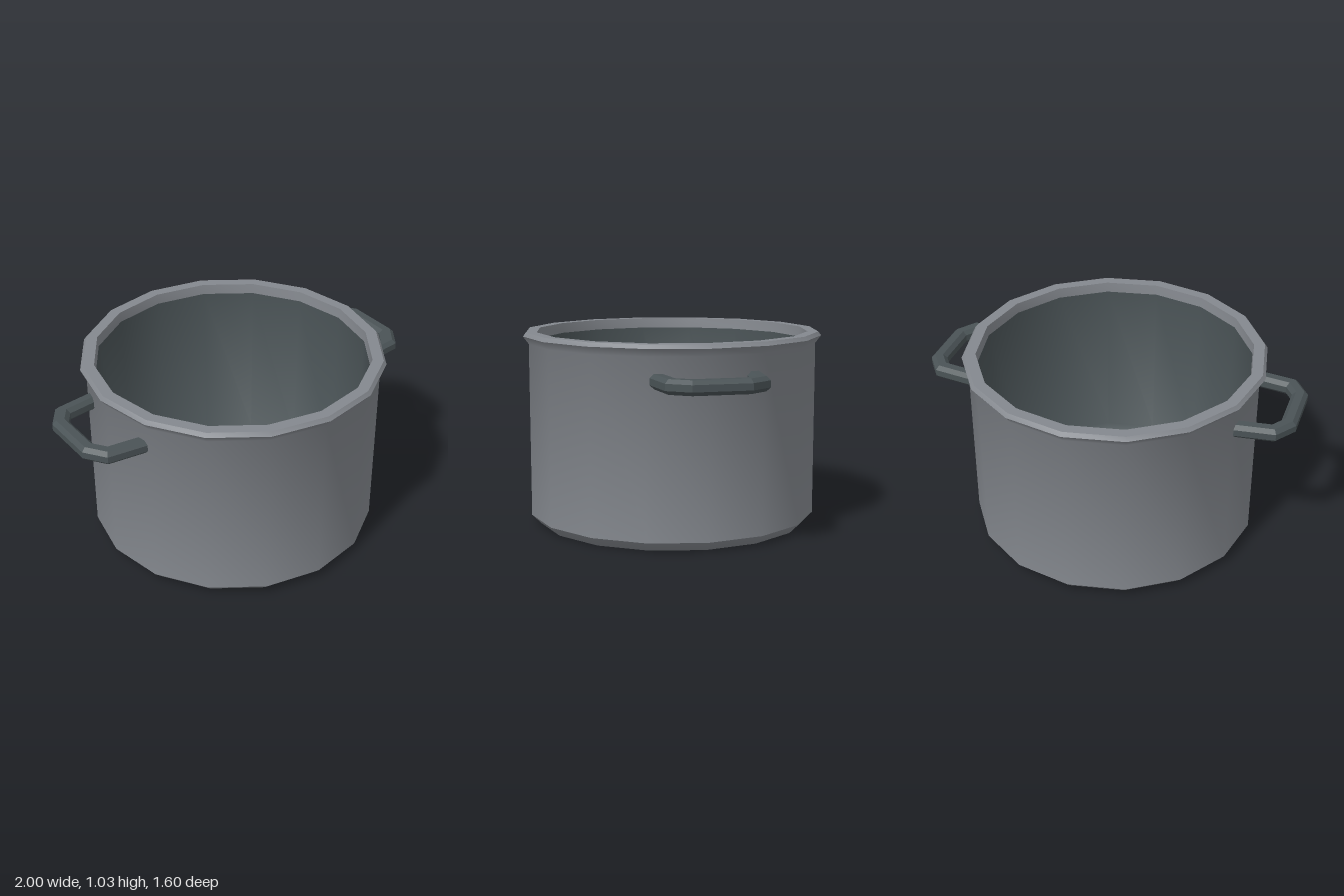
import * as THREE from 'three';
import { toCreasedNormals } from 'three/addons/utils/BufferGeometryUtils.js';

const SIDES = 16;
const CREASE = THREE.MathUtils.degToRad(50);

function makeMaterial(name, color) {
  const material = new THREE.MeshStandardMaterial({ color });
  material.name = name;
  return material;
}

// Turned part from [radius, height] points, smooth except at sharp edges
function turned(points) {
  const profile = points.map(([r, y]) => new THREE.Vector2(r, y));
  return toCreasedNormals(new THREE.LatheGeometry(profile, SIDES), CREASE);
}

// Bar of chamfered section swept along a flat path with mitred corners
function sweptBar(path, section) {
  const dirs = path.slice(1).map((p, i) => p.clone().sub(path[i]).normalize());
  const rings = path.map((p, i) => {
    const a = dirs[Math.max(i - 1, 0)], b = dirs[Math.min(i, dirs.length - 1)];
    const tangent = a.clone().add(b).normalize();
    const miter = 1 / tangent.dot(b);
    const nx = tangent.y * miter, nz = -tangent.x * miter;
    return section.map(([w, h]) => [p.x + nx * w, h, p.y + nz * w]);
  });
  const out = [], n = section.length;
  for (let i = 0; i < rings.length - 1; i++) {
    for (let j = 0; j < n; j++) {
      const k = (j + 1) % n, r = rings[i], s = rings[i + 1];
      out.push(r[j], r[k], s[k], r[j], s[k], s[j]);
    }
  }
  // End caps
  const first = rings[0], last = rings[rings.length - 1];
  for (let j = 1; j < n - 1; j++) {
    out.push(first[0], first[j + 1], first[j], last[0], last[j], last[j + 1]);
  }
  const geometry = new THREE.BufferGeometry();
  geometry.setAttribute('position', new THREE.Float32BufferAttribute(out.flat(), 3));
  geometry.computeVertexNormals();
  return geometry;
}

export function createModel() {
  const group = new THREE.Group();
  group.name = 'cookingPot';
  const steel = makeMaterial('steel grey', 0x84888e);
  const dark = makeMaterial('dark grey', 0x4a5356);

  const add = (name, geometry, material) => {
    const mesh = new THREE.Mesh(geometry, material);
    mesh.name = name;
    group.add(mesh);
    return mesh;
  };

  // Base with chamfered edge
  add('base', turned([[0, 0], [0.72, 0], [0.77, 0.05]]), steel);

  // Outer wall, flaring out softly under the rim
  add('wall', turned([[0.77, 0.05], [0.77, 0.97], [0.8, 1.01]]), steel);

  // Rim with a rounded outer edge and a sharp inner one
  add('rim', turned([[0.8, 1.01], [0.785, 1.03], [0.727, 1.03], [0.722, 0.975]]), steel);

  // Inner wall and floor, softly blended
  add('interior', turned([[0.722, 0.975], [0.705, 0.075], [0.68, 0.05], [0, 0.05]]), dark);

  // Side handles, the second one turned half a circle
  const path = [[0.7, 0.245], [0.9, 0.22], [0.96, 0.135], [0.96, -0.135], [0.9, -0.22], [0.7, -0.245]]
    .map(([x, z]) => new THREE.Vector2(x, z));
  const W = 0.04, H = 0.037, C = 0.02;
  const section = [
    [W, H - C], [W - C, H], [C - W, H], [-W, H - C],
    [-W, C - H], [C - W, -H], [W - C, -H], [W, C - H],
  ];
  const bar = sweptBar(path, section);
  ['leftHandle', 'rightHandle'].forEach((name, i) => {
    const handle = add(name, bar, dark);
    handle.position.y = 0.85;
    handle.rotation.y = i * Math.PI;
  });

  return group;
}
